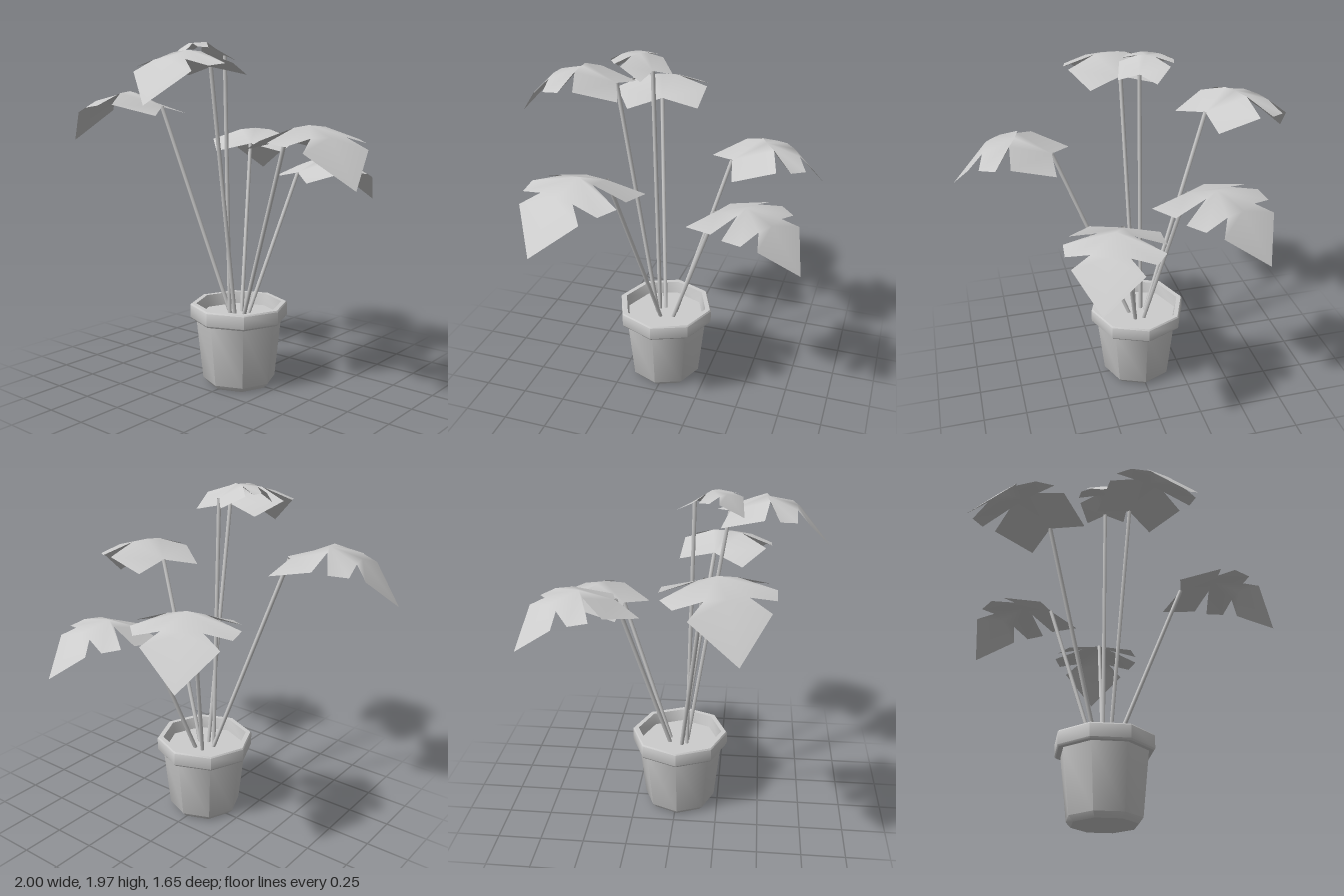
import * as THREE from 'three';
import { mergeVertices, toCreasedNormals } from 'three/addons/utils/BufferGeometryUtils.js';

// Midrib height above the stem joint, by distance along the leaf
const RIB = [[-0.1, -0.02], [0, 0], [0.2, 0.085], [0.36, 0.04], [0.42, 0], [0.57, -0.2]];
// Lobes of one half leaf as [along, across]; each is fanned from its first point
const LOBES = [
  [[0, 0], [-0.06, 0.2], [0.168, 0.265], [0.21, 0.094], [0.2, 0]],
  [[0.2, 0], [0.21, 0.094], [0.248, 0.276], [0.346, 0.242], [0.359, 0.105], [0.37, 0]],
  [[0.37, 0], [0.359, 0.105], [0.42, 0.193], [0.57, 0]],
];

function ribHeight(u) {
  let i = 0;
  while (i < RIB.length - 2 && u > RIB[i + 1][0]) i++;
  const [a, b] = [RIB[i], RIB[i + 1]];
  return a[1] + ((u - a[0]) / (b[0] - a[0])) * (b[1] - a[1]);
}

// Drooping leaf from its stem joint towards the tip (tip given as x, z)
function leafGeometry([x, y, z], [tx, tz], tilt) {
  const length = Math.hypot(tx - x, tz - z);
  const s = length / 0.57;
  const dx = (tx - x) / length, dz = (tz - z) / length;
  const pos = [];
  const add = (u, v) => pos.push(
    x + s * (dx * u - dz * v),
    y + s * (ribHeight(u) - 0.8 * v * v + tilt * u),
    z + s * (dz * u + dx * v));
  for (const side of [1, -1]) {
    for (const lobe of LOBES) {
      for (let i = 1; i < lobe.length - 1; i++) {
        const tri = [lobe[0], lobe[i], lobe[i + 1]];
        if (side < 0) tri.reverse();
        tri.forEach(([u, v]) => add(u, v * side));
      }
    }
  }
  const raw = new THREE.BufferGeometry();
  raw.setAttribute('position', new THREE.Float32BufferAttribute(pos, 3));
  const geo = mergeVertices(raw, 1e-4);
  geo.computeVertexNormals();
  return geo;
}

export function createModel() {
  const group = new THREE.Group();
  const grey = new THREE.MeshStandardMaterial({ color: 0xcccccc, side: THREE.DoubleSide });
  grey.name = 'pale grey';
  const add = (geo, name) => {
    const mesh = new THREE.Mesh(geo, grey);
    mesh.name = name;
    group.add(mesh);
    return mesh;
  };
  const lathe = (points) => toCreasedNormals(
    new THREE.LatheGeometry(points.map(p => new THREE.Vector2(...p)), 8), 0.83);

  // Eight-sided pot, its rim and the soil
  const parts = [
    add(lathe([[0, 0], [0.185, 0], [0.212, 0.03], [0.25, 0.39]]), 'potBody'),
    add(lathe([[0.25, 0.39], [0.277, 0.39], [0.285, 0.4], [0.285, 0.472], [0.278, 0.48],
      [0.25, 0.48], [0.235, 0.4]]), 'potRim'),
    add(lathe([[0.236, 0.41], [0, 0.41]]), 'soil'),
  ];
  parts.forEach(p => p.position.set(0.005, 0, 0.015));

  // Stems and leaves: stem foot (x, z), joint, leaf tip (x, z), upward tilt
  const plants = [
    { name: 'left', foot: [0.05, 0.03], joint: [0.45, 1.455, 0.18], tip: [0.995, 0.37] },
    { name: 'right', foot: [-0.045, 0.03], joint: [-0.44, 1.61, 0.18], tip: [-1, 0.37] },
    { name: 'backLeft', foot: [0.03, -0.04], joint: [0.17, 1.225, -0.33], tip: [0.39, -0.83] },
    { name: 'backRight', foot: [-0.02, -0.04], joint: [-0.18, 1.38, -0.32], tip: [-0.465, -0.816] },
    { name: 'front', foot: [0.012, 0.06], joint: [0.03, 1.83, 0.28], tip: [0.077, 0.825] },
    { name: 'topSmall', foot: [-0.028, 0.06], joint: [-0.03, 1.895, 0.095], tip: [-0.2, 0.36], tilt: 0.22 },
  ];
  for (const { name, foot, joint, tip, tilt = 0 } of plants) {
    const path = new THREE.LineCurve3(
      new THREE.Vector3(foot[0], 0.4, foot[1]), new THREE.Vector3(...joint));
    add(new THREE.TubeGeometry(path, 1, 0.012, 6), name + 'Stem');
    add(leafGeometry(joint, tip, tilt), name + 'Leaf');
  }
  return group;
}
